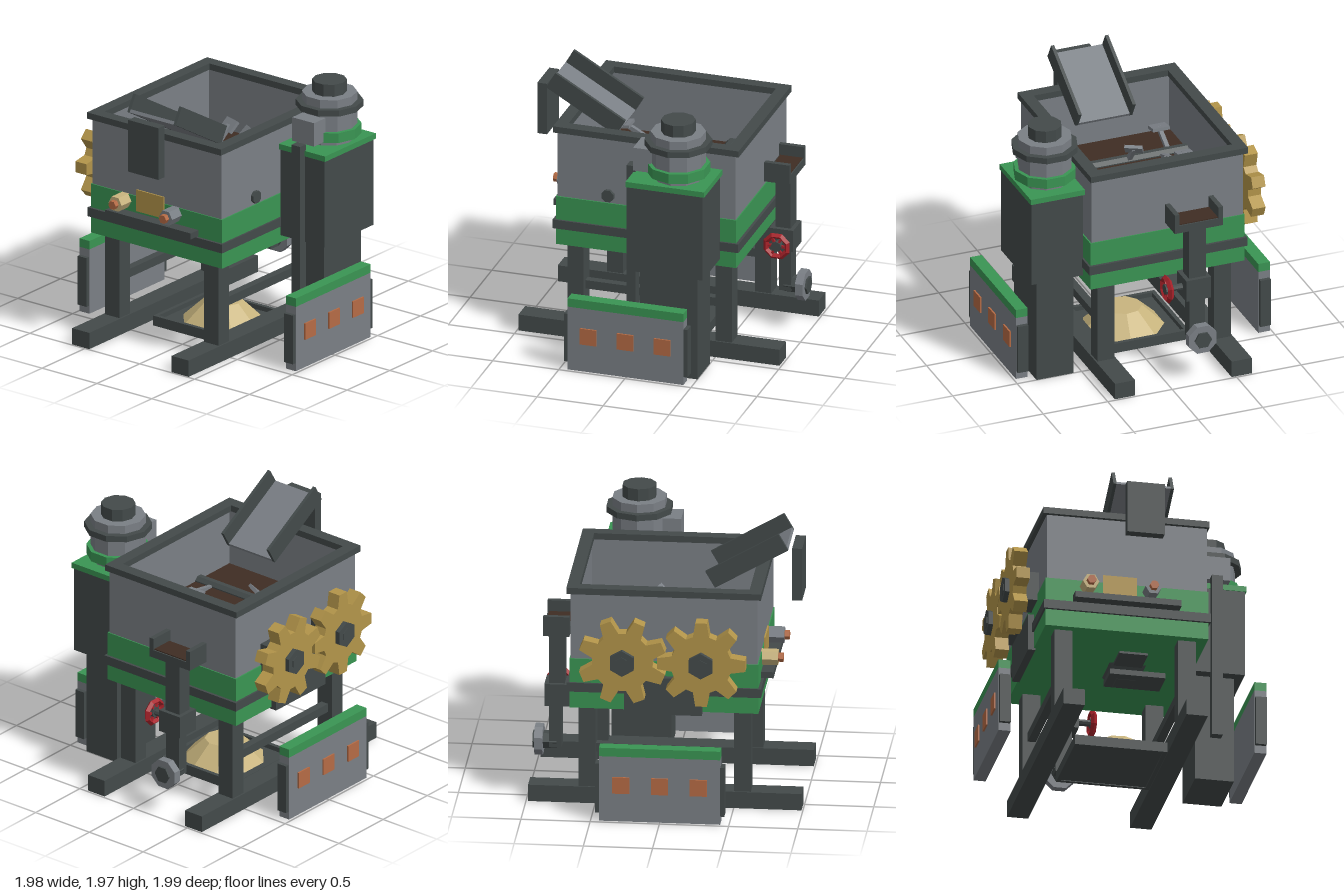
import * as THREE from 'three';

const mat = (name, color) => {
  const m = new THREE.MeshStandardMaterial({ color, flatShading: true });
  m.name = name;
  return m;
};

export function createModel() {
  const root = new THREE.Group();
  root.name = 'industrialMixer';
  const dark = mat('darkSteel', 0x434a4a), grey = mat('greySteel', 0x7a7f85), green = mat('greenPaint', 0x3a9553);
  const gold = mat('brass', 0xb3954a), copper = mat('copper', 0xb56b45), red = mat('redPaint', 0xa8222a);
  const brown = mat('brownMix', 0x3f2d23), sand = mat('sand', 0xc8b47e);

  const add = (name, geo, m, x = 0, y = 0, z = 0, parent = root) => {
    const mesh = new THREE.Mesh(geo, m);
    mesh.name = name;
    mesh.position.set(x, y, z);
    parent.add(mesh);
    return mesh;
  };
  // box given by its limits on each axis
  const box = (name, m, x0, x1, y0, y1, z0, z1, parent) =>
    add(name, new THREE.BoxGeometry(x1 - x0, y1 - y0, z1 - z0), m, (x0 + x1) / 2, (y0 + y1) / 2, (z0 + z1) / 2, parent);
  // prism along an axis
  const cyl = (name, m, r, h, sides, x, y, z, axis = 'y', parent) => {
    const g = new THREE.CylinderGeometry(r, r, h, sides);
    if (axis === 'x') g.rotateZ(Math.PI / 2);
    if (axis === 'z') g.rotateX(Math.PI / 2);
    return add(name, g, m, x, y, z, parent);
  };
  // four walls around a rectangle
  const frame = (name, m, x0, x1, y0, y1, z0, z1, t) => {
    box(name, m, x0, x1, y0, y1, z0, z0 + t);
    box(name, m, x0, x1, y0, y1, z1 - t, z1);
    box(name, m, x0, x0 + t, y0, y1, z0 + t, z1 - t);
    box(name, m, x1 - t, x1, y0, y1, z0 + t, z1 - t);
  };

  // base beams, legs and cross bars
  for (const z of [0.36, -0.545]) {
    box('baseBeam', dark, -0.99, 0.985, 0, 0.125, z - 0.078, z + 0.078);
    for (const x of [-0.562, 0.56]) box('leg', dark, x - 0.061, x + 0.061, 0.12, 0.76, z - 0.066, z + 0.066);
    box('crossBar', dark, -0.5, 0.5, 0.38, 0.445, z - 0.03, z + 0.03);
  }

  // tank
  box('tankBase', green, -0.685, 0.68, 0.755, 1.13, -0.69, 0.505);
  frame('tankBand', dark, -0.705, 0.7, 0.882, 0.95, -0.705, 0.52, 0.04);
  frame('tankWall', grey, -0.677, 0.672, 1.13, 1.64, -0.68, 0.495, 0.045);
  frame('tankRim', dark, -0.705, 0.7, 1.632, 1.68, -0.71, 0.51, 0.09);
  box('tankFilling', brown, -0.635, 0.63, 1.13, 1.2, -0.64, 0.455);

  // discharge funnel and slide gate
  const funnel = new THREE.CylinderGeometry(0.19, 0.1, 0.1, 4).rotateY(Math.PI / 4);
  add('dischargeFunnel', funnel, dark, -0.02, 0.707, 0.025);
  box('slideGate', dark, -0.17, 0.06, 0.66, 0.7, -0.11, 0.3);
  box('gateRail', dark, -0.36, 0, 0.738, 0.757, -0.08, 0.13);

  // tray and heap
  box('trayFloor', dark, -0.33, 0.33, 0.005, 0.04, -0.4, 0.28);
  frame('trayRim', dark, -0.33, 0.33, 0, 0.075, -0.4, 0.28, 0.03);
  add('heap', new THREE.CylinderGeometry(0.14, 0.3, 0.15, 9), sand, 0, 0.115, -0.02);

  // shafts, bearings and the meshing gears
  const gearShape = (phase) => {
    const s = new THREE.Shape(), step = Math.PI / 4;
    for (let i = 0; i < 8; i++) {
      for (const [r, a] of [[0.22, -0.27], [0.322, -0.13], [0.322, 0.13], [0.22, 0.27]]) {
        const t = i * step + phase + a;
        if (i === 0 && a === -0.27) s.moveTo(r * Math.cos(t), r * Math.sin(t));
        else s.lineTo(r * Math.cos(t), r * Math.sin(t));
      }
    }
    s.closePath();
    return s;
  };
  [-0.29, 0.28].forEach((x, i) => {
    cyl('shaft', dark, 0.048, 1.42, 8, x, 1.19, -0.19, 'z').rotation.z = Math.PI / 8;
    box('bearing', dark, x - 0.11, x + 0.11, 1.08, 1.3, -0.77, -0.68);
    const g = new THREE.ExtrudeGeometry(gearShape(i * Math.PI / 8), { depth: 0.1, bevelEnabled: false });
    add('gear', g, gold, x, 1.19, -0.89);
    cyl('gearHub', dark, 0.098, 0.13, 6, x, 1.19, -0.86, 'z');
    cyl('shaftEnd', dark, 0.05, 0.03, 6, x, 1.19, -0.915, 'z');
  });
  box('rearPlate', dark, -0.28, 0.28, 0.74, 1.02, -0.735, -0.68);

  // mixing paddles: shaft x, blade x, y, z, turn
  const paddles = [
    [-0.29, -0.49, 1.3, -0.5, 0], [-0.29, -0.07, 1.26, -0.43, 0.1], [-0.29, 0.06, 1.24, -0.46, 0],
    [-0.29, -0.18, 1.34, -0.18, 0.5], [-0.29, -0.06, 1.23, 0.31, 0], [-0.29, -0.19, 1.22, -0.58, 0],
    [0.28, 0.11, 1.3, 0.28, 0.3], [0.28, 0.46, 1.32, -0.32, 0.3], [0.28, 0.57, 1.23, -0.2, 0],
    [0.28, 0.28, 1.38, -0.02, 0.5], [0.28, 0.18, 1.22, 0.4, 0]];
  for (const [sx, x, y, z, turn] of paddles) {
    const len = Math.hypot(x - sx, y - 1.19);
    const arm = add('paddleArm', new THREE.BoxGeometry(len, 0.032, 0.032), grey, (x + sx) / 2, (y + 1.19) / 2, z);
    arm.rotation.z = Math.atan2(y - 1.19, x - sx);
    const blade = add('paddleBlade', new THREE.BoxGeometry(0.1, 0.025, 0.13), grey, x, y, z);
    blade.rotation.set(0, -turn, turn ? 0.8 : 0.15);
  }

  // feed chute and its hanging plate
  const chute = new THREE.Group();
  chute.name = 'feedChute';
  chute.position.set(-0.555, 1.75, -0.005);
  chute.rotation.z = -Math.PI / 6;
  root.add(chute);
  box('chuteFloor', grey, -0.305, 0.305, -0.07, -0.045, -0.2, 0.2, chute);
  for (const s of [-1, 1]) box('chuteSide', dark, -0.305, 0.305, -0.07, 0.07, s * 0.21 - 0.012, s * 0.21 + 0.012, chute);
  box('hangingPlate', dark, -0.948, -0.875, 1.43, 1.828, -0.145, 0.13);

  // drive tower
  box('towerBase', dark, 0.065, 0.5, 0, 0.82, 0.565, 0.85);
  box('towerHousing', dark, -0.015, 0.56, 0.815, 1.48, 0.515, 0.915);
  box('towerPlate', green, -0.02, 0.575, 1.475, 1.517, 0.505, 0.925);
  box('conduit', dark, -0.072, -0.005, 0.3, 1.562, 0.66, 0.74);
  box('junctionBox', grey, 0, 0.135, 1.56, 1.74, 0.61, 0.81);

  // motor: radius, bottom, top
  for (const [name, m, r, y0, y1] of [
    ['motorFoot', grey, 0.18, 1.51, 1.56], ['motorFlange', green, 0.23, 1.555, 1.63],
    ['motorBody', grey, 0.2, 1.6, 1.873], ['motorRing', dark, 0.245, 1.764, 1.81], ['motorCap', dark, 0.125, 1.87, 1.965]])
    cyl(name, m, r, y1 - y0, 10, 0.31, (y0 + y1) / 2, 0.71);

  // control panels, front and back
  for (const s of [1, -1]) {
    const panel = new THREE.Group();
    panel.name = s > 0 ? 'frontPanel' : 'backPanel';
    panel.rotation.y = s > 0 ? 0 : Math.PI;
    root.add(panel);
    box('panelBody', grey, -0.438, 0.438, 0.005, 0.5, 0.895, 0.985, panel);
    box('panelTop', green, -0.438, 0.438, 0.5, 0.565, 0.895, 0.985, panel);
    for (const e of [-1, 1]) box('panelBracket', dark, e * 0.452 - 0.015, e * 0.452 + 0.015, 0.065, 0.44, 0.9, 0.98, panel);
    for (const x of [-0.28, 0, 0.28]) box('button', copper, x - 0.062, x + 0.062, 0.22, 0.345, 0.98, 0.997, panel);
  }

  // spray nozzles, rail and plate on the right side
  box('nozzleRail', dark, -0.775, -0.68, 0.957, 1.003, -0.49, 0.29);
  [[-0.38, sand], [0.08, grey]].forEach(([z, m]) => {
    cyl('nozzle', m, 0.06, 0.13, 6, -0.735, 1.08, z, 'x');
    cyl('nozzleTip', copper, 0.034, 0.05, 6, -0.812, 1.08, z, 'x');
  });
  box('brassPlate', gold, -0.695, -0.684, 1.02, 1.185, -0.27, -0.02);

  // sampling stand with cup on the left side
  box('cupFloor', dark, 0.705, 0.895, 1.2, 1.26, -0.437, -0.063);
  box('cupFilling', brown, 0.715, 0.885, 1.255, 1.267, -0.4, -0.1);
  box('cupWall', dark, 0.705, 0.895, 1.255, 1.35, -0.437, -0.4);
  box('cupWall', dark, 0.705, 0.895, 1.255, 1.35, -0.1, -0.063);
  box('standPipe', dark, 0.75, 0.865, 0.75, 1.21, -0.315, -0.185);
  box('valveBody', dark, 0.715, 0.895, 0.63, 0.797, -0.345, -0.152);
  box('lowerPipe', dark, 0.775, 0.865, 0.3, 0.64, -0.31, -0.19);
  cyl('outletElbow', dark, 0.065, 0.16, 6, 0.89, 0.34, -0.25, 'x');
  cyl('outletFlange', grey, 0.115, 0.06, 8, 0.94, 0.34, -0.25, 'x').rotation.x = Math.PI / 8;
  cyl('outletNut', dark, 0.066, 0.06, 6, 0.955, 0.34, -0.25, 'x');

  // handwheel
  cyl('valveStem', dark, 0.025, 0.15, 8, 0.808, 0.715, -0.1, 'z');
  const wheel = add('handwheel', new THREE.TorusGeometry(0.085, 0.022, 4, 8), red, 0.808, 0.715, -0.037);
  wheel.rotation.z = Math.PI / 8;
  cyl('wheelHub', dark, 0.04, 0.035, 8, 0.808, 0.715, -0.035, 'z');
  for (let i = 0; i < 3; i++)
    add('wheelSpoke', new THREE.BoxGeometry(0.17, 0.018, 0.018), red, 0.808, 0.715, -0.037).rotation.z = i * Math.PI / 3;

  return root;
}
